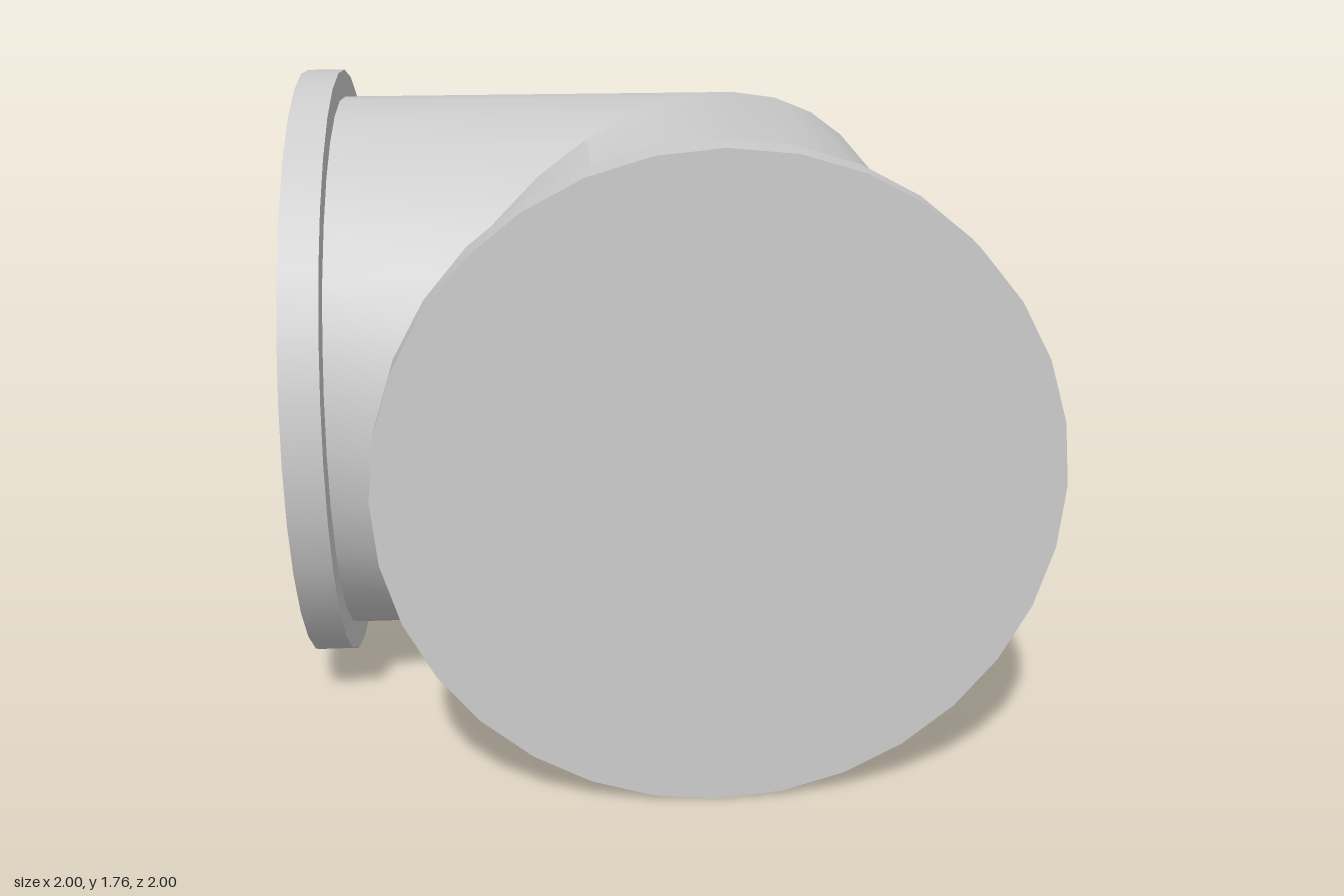
import * as THREE from 'three';
import { toCreasedNormals } from 'three/addons/utils/BufferGeometryUtils.js';

const SIDES = 32;
const C = 0.122;        // offset of both pipe axes from the origin
const CY = 0.878;       // height of the pipe axes
const R = 0.798;        // pipe radius
const FLANGE_R = 0.878;
const FLANGE_T = 0.107;

// Mitred elbow: three rings (left mouth, 45 degree joint, front mouth) joined by quads
function elbowGeometry() {
  const end = 1 - FLANGE_T;
  const rings = [
    (s) => [-end, -s],
    (s) => [s, -s],
    (s) => [s, end],
  ];
  const positions = [];
  const indices = [];
  for (const ring of rings) {
    for (let j = 0; j < SIDES; j++) {
      const t = (j / SIDES) * Math.PI * 2;
      const [x, z] = ring(C + R * Math.sin(t));
      positions.push(x, CY + R * Math.cos(t), z);
    }
  }
  for (let i = 0; i < rings.length - 1; i++) {
    for (let j = 0; j < SIDES; j++) {
      const k = (j + 1) % SIDES;
      const a = i * SIDES + j, b = i * SIDES + k;
      const c = a + SIDES, d = b + SIDES;
      indices.push(a, c, b, b, c, d);
    }
  }
  const geometry = new THREE.BufferGeometry();
  geometry.setAttribute('position', new THREE.Float32BufferAttribute(positions, 3));
  geometry.setIndex(indices);
  return toCreasedNormals(geometry, Math.PI / 6);
}

export function createModel() {
  const group = new THREE.Group();
  group.name = 'pipeElbow';
  const metal = new THREE.MeshStandardMaterial({ color: 0xcccccc });
  metal.name = 'light grey metal';

  const add = (name, geometry) => {
    const mesh = new THREE.Mesh(geometry, metal);
    mesh.name = name;
    group.add(mesh);
    return mesh;
  };

  add('elbowPipe', elbowGeometry());

  // Closed flange discs at both ends
  const flange = new THREE.CylinderGeometry(FLANGE_R, FLANGE_R, FLANGE_T, SIDES);
  const sideFlange = add('sideFlange', flange);
  sideFlange.rotation.z = Math.PI / 2;
  sideFlange.position.set(-1 + FLANGE_T / 2, CY, -C);
  const frontFlange = add('frontFlange', flange);
  frontFlange.rotation.x = Math.PI / 2;
  frontFlange.position.set(C, CY, 1 - FLANGE_T / 2);

  return group;
}
